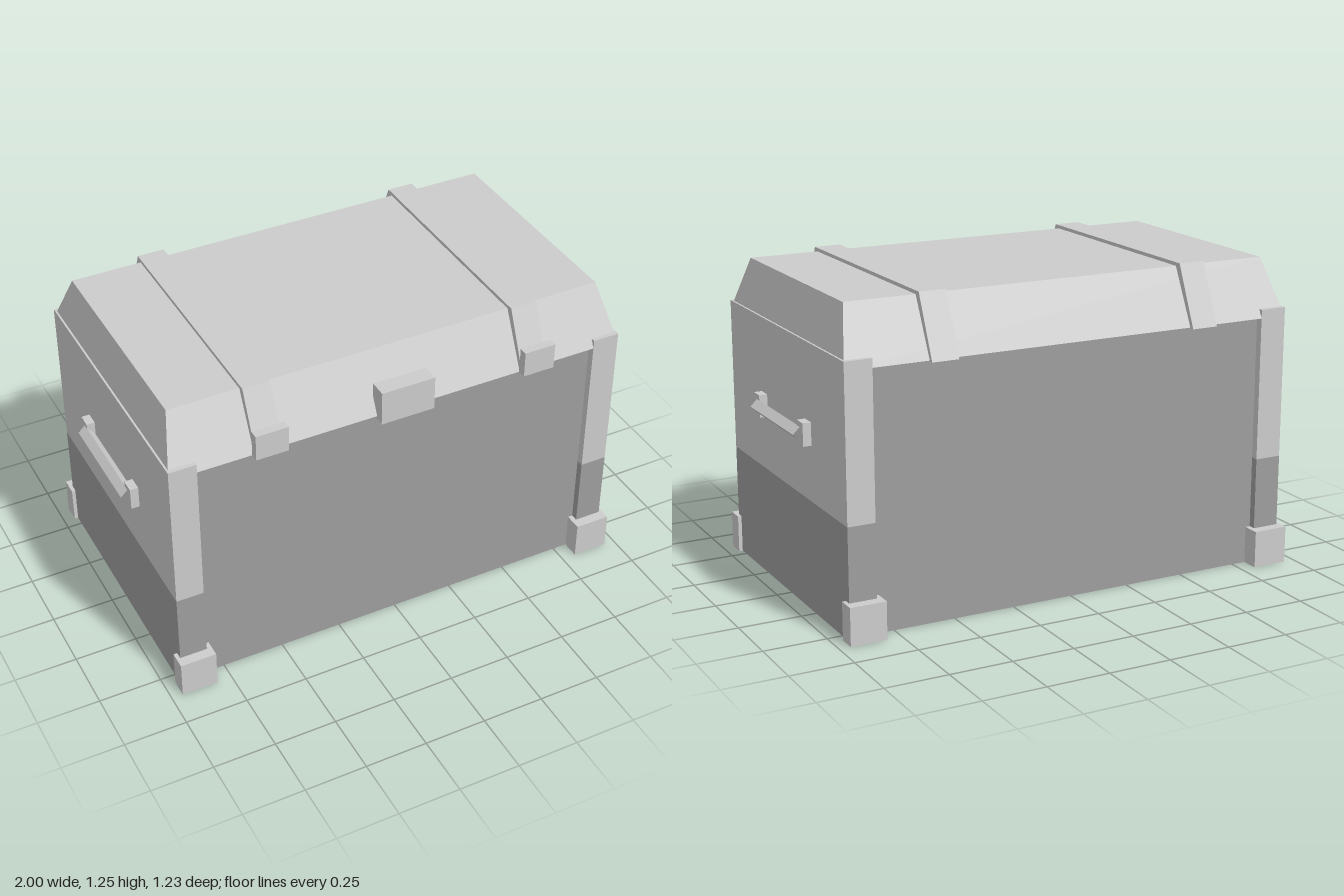
import * as THREE from 'three';

export function createModel() {
  const model = new THREE.Group();
  model.name = 'chest';
  const light = new THREE.MeshStandardMaterial({ color: 0xcccccc });
  light.name = 'light grey';
  const dark = new THREE.MeshStandardMaterial({ color: 0x9e9e9e });
  dark.name = 'dark grey';

  const add = (name, geometry, material) => {
    const mesh = new THREE.Mesh(geometry, material);
    mesh.name = name;
    model.add(mesh);
    return mesh;
  };

  // Box given by its limits on each axis
  const block = (name, material, [x0, x1], [y0, y1], [z0, z1]) => {
    const mesh = add(name, new THREE.BoxGeometry(Math.abs(x1 - x0), y1 - y0, Math.abs(z1 - z0)), material);
    mesh.position.set((x0 + x1) / 2, (y0 + y1) / 2, (z0 + z1) / 2);
    return mesh;
  };

  // Box whose top is narrower than its base (half sizes)
  const taperedBox = (name, bottom, top, y0, y1) => {
    const geometry = new THREE.BoxGeometry(2, y1 - y0, 2);
    const p = geometry.attributes.position;
    for (let i = 0; i < p.count; i++) {
      const [hx, hz] = p.getY(i) > 0 ? top : bottom;
      p.setX(i, p.getX(i) * hx);
      p.setZ(i, p.getZ(i) * hz);
    }
    geometry.computeVertexNormals();
    const mesh = add(name, geometry, light);
    mesh.position.y = (y0 + y1) / 2;
    return mesh;
  };

  // Recessed main body and bevelled lid
  block('body', dark, [-0.83, 0.83], [0, 1.02], [-0.54, 0.54]);
  taperedBox('lid', [0.94, 0.57], [0.89, 0.458], 1.015, 1.236);

  for (const s of [-1, 1]) {
    const side = s > 0 ? 'left' : 'right';

    // End walls, two-tone, standing proud of the body
    block(side + 'EndLower', dark, [s * 0.83, s * 0.94], [0, 0.44], [-0.57, 0.57]);
    block(side + 'EndUpper', light, [s * 0.83, s * 0.94], [0.44, 1.05], [-0.57, 0.57]);

    // Lid strap with its latch plate
    taperedBox(side + 'Strap', [0.054, 0.59], [0.054, 0.484], 1.012, 1.25).position.x = s * 0.553;
    block(side + 'Latch', light, [s * 0.49, s * 0.62], [1.025, 1.13], [0.58, 0.615]);

    // Corner feet and handle brackets
    for (const f of [-1, 1]) {
      const end = f > 0 ? 'Front' : 'Back';
      block(side + end + 'Foot', light, [s * 0.81, s * 0.955], [0, 0.15], [f * 0.54, f * 0.612]);
      block(side + end + 'HandleBracket', light, [s * 0.93, s * 0.973], [0.66, 0.75], [f * 0.193, f * 0.25]);
    }

    // Diamond-section handle bar
    const bar = new THREE.CylinderGeometry(0.028, 0.028, 0.44, 4, 1, true).toNonIndexed();
    bar.rotateX(Math.PI / 2);
    bar.computeVertexNormals();
    add(side + 'HandleBar', bar, light).position.set(s * 0.972, 0.702, 0);
  }

  // Central lock plate
  block('lock', light, [-0.11, 0.11], [1.0, 1.14], [0.535, 0.605]);

  return model;
}
